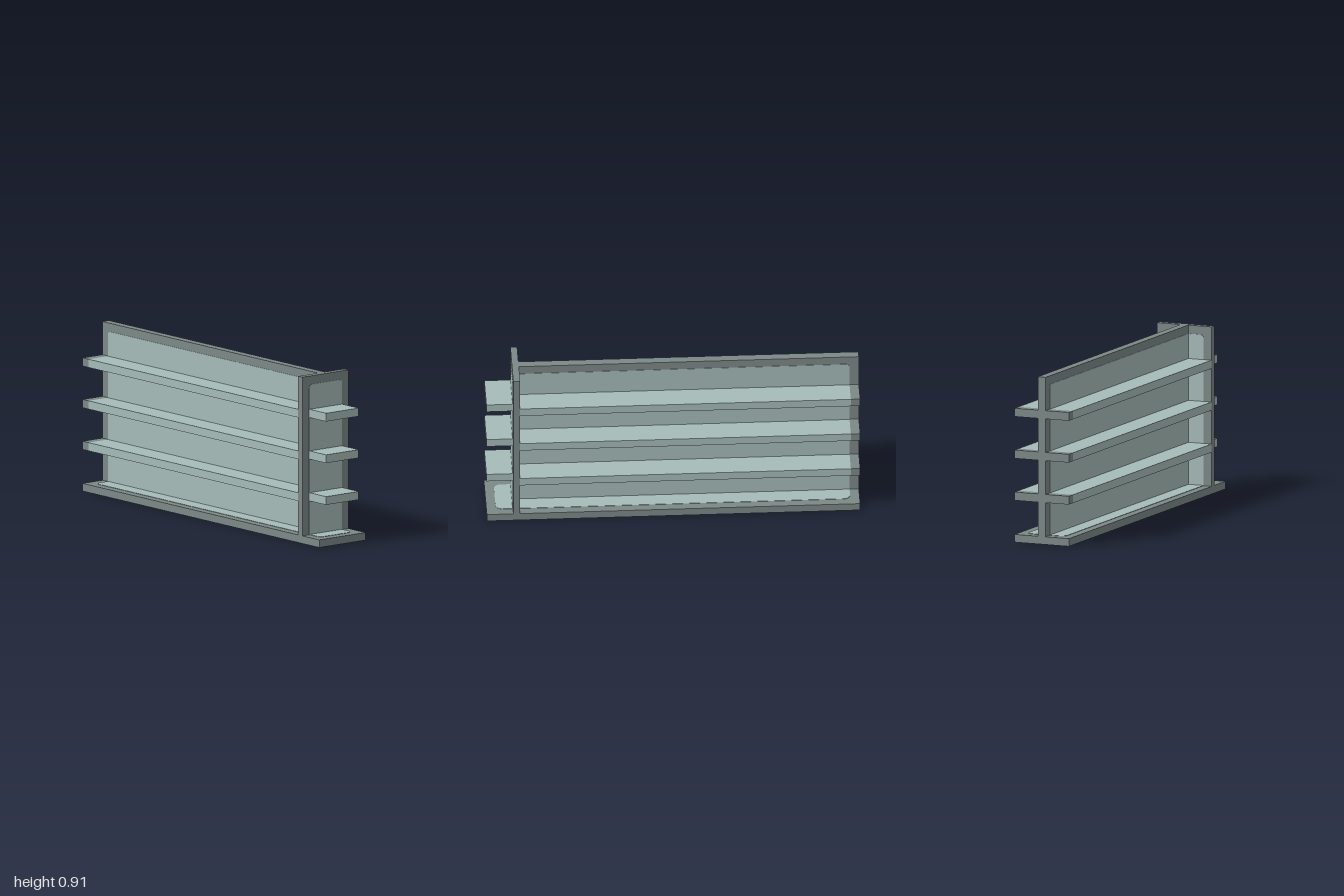
import * as THREE from 'three';

const frameGrey = new THREE.MeshStandardMaterial({ color: 0x7c8987 });
frameGrey.name = 'frame grey';
const paleTeal = new THREE.MeshStandardMaterial({ color: 0xa6bbb9 });
paleTeal.name = 'pale teal';

const SKIN = 0.002; // how far an inset face stands proud of its frame

// Box given by its min and max corners
function box(name, mat, [x0, y0, z0], [x1, y1, z1]) {
  const mesh = new THREE.Mesh(new THREE.BoxGeometry(x1 - x0, y1 - y0, z1 - z0), mat);
  mesh.position.set((x0 + x1) / 2, (y0 + y1) / 2, (z0 + z1) / 2);
  mesh.name = name;
  return mesh;
}

// Rounded rectangle slab, centred in depth on z = 0
function roundedSlab(name, mat, a0, b0, a1, b1, r, depth) {
  const s = new THREE.Shape();
  s.absarc(a1 - r, b0 + r, r, -Math.PI / 2, 0);
  s.absarc(a1 - r, b1 - r, r, 0, Math.PI / 2);
  s.absarc(a0 + r, b1 - r, r, Math.PI / 2, Math.PI);
  s.absarc(a0 + r, b0 + r, r, Math.PI, Math.PI * 1.5);
  const geo = new THREE.ExtrudeGeometry(s, { depth, bevelEnabled: false, curveSegments: 4 });
  geo.translate(0, 0, -depth / 2);
  const mesh = new THREE.Mesh(geo, mat);
  mesh.name = name;
  return mesh;
}

export function createModel() {
  const model = new THREE.Group();
  model.name = 'shelvingUnit';
  const W = 0.16, H = 0.91, BASE = 0.046;
  const END0 = 0.82, END1 = 0.86, INSET = 0.113;

  // Base plinth with pale faces above and below
  model.add(box('base', frameGrey, [-1, SKIN, -W], [1, BASE - SKIN, W]));
  const baseFace = roundedSlab('baseFace', paleTeal, -0.95, -INSET, 0.95, INSET, 0.035, BASE);
  baseFace.rotation.x = -Math.PI / 2;
  baseFace.position.y = BASE / 2;
  model.add(baseFace);

  // Central divider
  model.add(box('backPanel', frameGrey, [-1, 0.03, -0.025 + SKIN], [END0 + 0.01, H, 0.025 - SKIN]));
  model.add(roundedSlab('backPanelFace', paleTeal, -0.95, 0.02, 0.84, 0.864, 0.02, 0.05));

  // Cross panel closing one end
  model.add(box('endPanel', frameGrey, [END0 + SKIN, 0.03, -W], [END1 - SKIN, H, W]));
  const endFace = roundedSlab('endPanelFace', paleTeal, -INSET, 0.02, INSET, 0.864, 0.018, END1 - END0);
  endFace.rotation.y = Math.PI / 2;
  endFace.position.x = (END0 + END1) / 2;
  model.add(endFace);

  // Three tiers: a long shelf through both sides and a short one on the end
  for (const y of [0.229, 0.457, 0.684]) {
    const top = y + 0.045;
    model.add(box('longShelf', paleTeal, [-0.95, y, -W], [END0 + SKIN, top, W]));
    model.add(box('longShelfCap', frameGrey, [-1, y, -W], [-0.95, top, W]));
    model.add(box('endShelf', paleTeal, [END1 - SKIN, y, -INSET], [1, top, INSET]));
  }
  return model;
}
